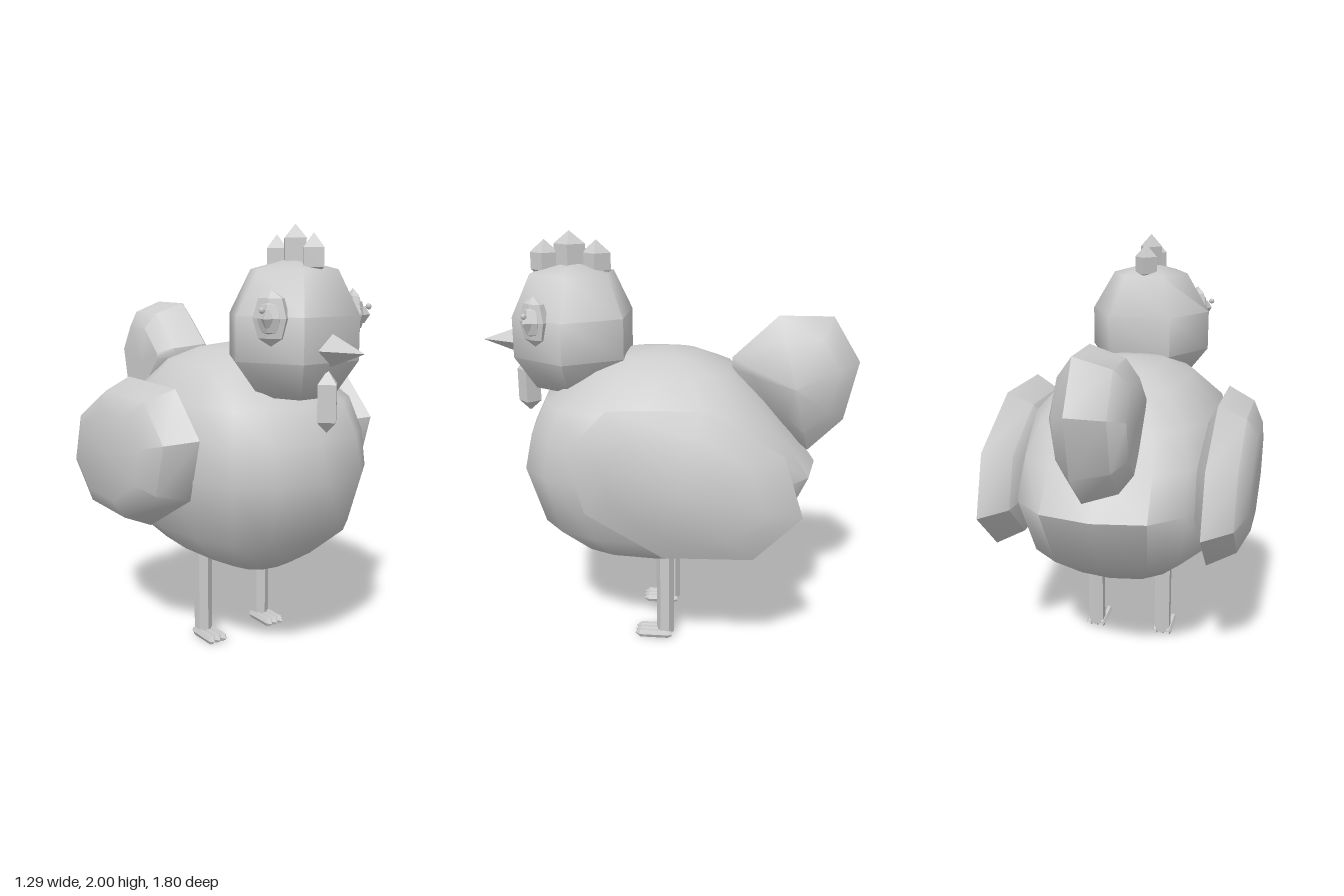
import * as THREE from 'three';
import { toCreasedNormals, mergeVertices } from 'three/addons/utils/BufferGeometryUtils.js';

const grey = new THREE.MeshStandardMaterial({ color: 0xcccccc });
grey.name = 'plain grey';

// Skin a list of equal-length rings of [x, y, z] points
function loft(rings, crease) {
  const n = rings[0].length, index = [];
  for (let r = 0; r < rings.length - 1; r++) {
    for (let i = 0; i < n; i++) {
      const a = r * n + i, b = r * n + (i + 1) % n;
      index.push(a, a + n, b + n, a, b + n, b);
    }
  }
  const geo = new THREE.BufferGeometry();
  geo.setAttribute('position', new THREE.Float32BufferAttribute(rings.flat(2), 3));
  geo.setIndex(index);
  return toCreasedNormals(mergeVertices(geo), crease);
}

// Horizontal rings: levels are [y, centre z, half width x, half depth z], bottom to top
function stack(levels, sides, power, crease) {
  const bend = (v) => (Math.abs(v) < 1e-6 ? 0 : Math.sign(v) * Math.abs(v) ** power);
  return loft(levels.map(([y, z, w, d]) => Array.from({ length: sides }, (_, i) => {
    const t = (i / sides) * Math.PI * 2;
    return [w * bend(Math.cos(t)), y, z + d * bend(Math.sin(t))];
  })), crease);
}

// Faceted feather pad: flat on its -x side, pointed on its +x side, outline in [z, y]
function pad(outline, [cz, cy], flatX, rimX, tipX) {
  const ring = (x, s) => outline.map(([z, y]) => [x, cy + (y - cy) * s, cz + (z - cz) * s]);
  const mix = THREE.MathUtils.lerp;
  return loft([
    ring(flatX, 0), ring(flatX, 0.6), ring(mix(rimX, flatX, 0.72), 0.84),
    ring(rimX, 1), ring(mix(rimX, tipX, 0.5), 0.68), ring(tipX, 0),
  ], 0.7);
}

export function createModel() {
  const model = new THREE.Group();
  model.name = 'hen';
  const add = (name, geo, x = 0, y = 0, z = 0, parent = model) => {
    const mesh = new THREE.Mesh(geo, grey);
    mesh.name = name;
    mesh.position.set(x, y, z);
    parent.add(mesh);
    return mesh;
  };
  const mid = -0.015;

  // Plump body, fuller at the breast
  add('body', stack([
    [0.41, 0, 0, 0], [0.43, 0.12, 0.17, 0.24], [0.49, 0.03, 0.3, 0.42], [0.63, 0.01, 0.44, 0.6],
    [0.91, -0.01, 0.49, 0.71], [1.08, 0.03, 0.48, 0.63], [1.23, 0.06, 0.43, 0.53],
    [1.38, 0.03, 0.29, 0.34], [1.44, 0.03, 0.16, 0.19], [1.47, 0, 0, 0],
  ], 16, 0.75, 1.0), mid);

  // Six-sided head
  add('head', stack([
    [1.24, 0.45, 0, 0], [1.27, 0.45, 0.18, 0.2], [1.43, 0.45, 0.305, 0.3],
    [1.62, 0.45, 0.305, 0.3], [1.81, 0.45, 0.19, 0.21], [1.86, 0.45, 0, 0],
  ], 6, 1, 1.1), mid);

  // Pointed comb pieces and wattle
  const spike = (low, high, depth) => stack([
    [low, 0, 0, 0], [low + 0.05, 0, 0.055, depth], [high - 0.06, 0, 0.055, depth], [high, 0, 0, 0],
  ], 4, 1, 0.3);
  [[0.58, 1.96, 0.068], [0.46, 2, 0.075], [0.335, 1.96, 0.068]].forEach(([z, top, depth]) =>
    add('comb', spike(1.77, top, depth), mid, 0, z));
  add('wattle', spike(1.13, 1.4, 0.056), mid, 0, 0.685);

  // Four-sided beak
  const beak = new THREE.ConeGeometry(1, 0.22, 4, 1);
  beak.rotateX(Math.PI / 2);
  add('beak', toCreasedNormals(beak, 0.3), mid, 1.482, 0.79).scale.set(0.09, 0.078, 1);

  // Layered eyes on the slanted cheeks
  for (const side of [-1, 1]) {
    const eye = new THREE.Group();
    eye.name = side > 0 ? 'leftEye' : 'rightEye';
    eye.position.set(mid + side * 0.225, 1.615, 0.585);
    eye.rotation.y = side * Math.PI / 3;
    model.add(eye);
    [['eyeRim', 0.085, 0.115, 0.04], ['iris', 0.058, 0.08, 0.06], ['pupil', 0.035, 0.05, 0.08]]
      .forEach(([name, w, h, d]) => {
        const layer = new THREE.SphereGeometry(1, 6, 4);
        layer.rotateY(Math.PI / 6);
        add(name, toCreasedNormals(layer, 0.4), 0, 0, 0, eye).scale.set(w, h, d);
      });
    add('eyeGlint', new THREE.SphereGeometry(0.014, 6, 4), side * 0.01, 0.035, 0.075, eye);
  }

  // Wings
  const wing = [[0.4, 1.1], [0.21, 1.3], [-0.21, 1.31], [-0.55, 1.12],
    [-0.64, 0.84], [-0.43, 0.63], [-0.03, 0.62], [0.32, 0.82]];
  add('leftWing', pad(wing, [-0.12, 0.97], 0.36, 0.53, 0.64));
  add('rightWing', pad(wing, [-0.12, 0.97], -0.65, -0.47, -0.36));

  // Tail
  const tail = [[-0.31, 1.38], [-0.31, 1.43], [-0.52, 1.63], [-0.77, 1.63],
    [-0.9, 1.42], [-0.84, 1.14], [-0.68, 0.98], [-0.55, 1.09]];
  add('tail', pad(tail, [-0.6, 1.32], -0.19, 0.03, 0.19));

  // Legs with three toes each
  for (const side of [-1, 1]) {
    const x = mid + side * 0.178;
    const leg = new THREE.CylinderGeometry(0.044, 0.044, 0.46, 6);
    add('leg', toCreasedNormals(leg, 0.5), x, 0.25, -0.005);
    for (const offset of [-0.034, 0, 0.034]) {
      const toe = stack([
        [-0.04, 0, 0.01, 0.012], [-0.02, 0, 0.018, 0.022],
        [0.12, 0, 0.018, 0.022], [0.148, 0, 0, 0],
      ], 6, 1, 0.5);
      toe.rotateX(Math.PI / 2);
      add('toe', toe, x + offset, 0.021, 0);
    }
  }
  return model;
}
